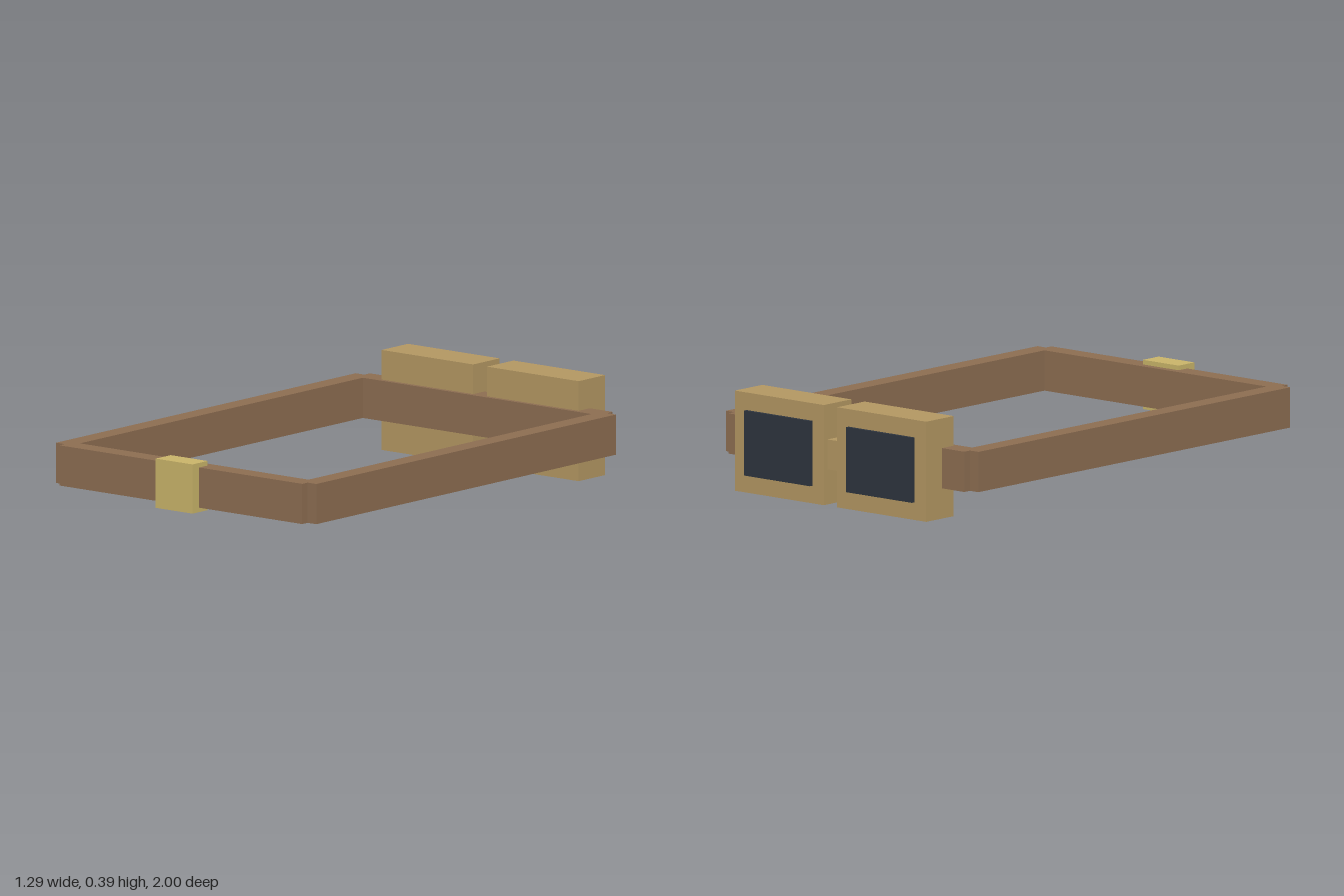
import * as THREE from 'three';

const material = (name, color) => {
  const m = new THREE.MeshStandardMaterial({ color });
  m.name = name;
  return m;
};

export function createModel() {
  const leather = material('brown leather', 0x8c6d51);
  const brass = material('dull brass', 0xb39762);
  const gold = material('pale gold', 0xc9b469);
  const glass = material('dark glass', 0x2e343e);

  const model = new THREE.Group();
  model.name = 'goggles';

  // Box given by its extents on each axis
  const box = (name, mat, [x0, x1], [y0, y1], [z0, z1]) => {
    const mesh = new THREE.Mesh(new THREE.BoxGeometry(x1 - x0, y1 - y0, z1 - z0), mat);
    mesh.position.set((x0 + x1) / 2, (y0 + y1) / 2, (z0 + z1) / 2);
    mesh.name = name;
    model.add(mesh);
  };

  // Strap loop: two cross bands and two side bands
  const strapY = [0.117, 0.273];
  box('frontStrap', leather, [-0.6, 0.6], strapY, [0.88, 0.96]);
  box('backStrap', leather, [-0.6, 0.6], strapY, [-0.895, -0.81]);

  for (const [side, s] of [['left', 1], ['right', -1]]) {
    const span = (a, b) => (s > 0 ? [a, b] : [-b, -a]);
    box(side + 'Strap', leather, span(0.565, 0.643), strapY, [-0.862, 0.928]);
    // Eyepiece housing and its pane
    box(side + 'LensFrame', brass, span(0.034, 0.487), [0, 0.388], [-0.986, -0.828]);
    box(side + 'Lens', glass, span(0.092, 0.427), [0.068, 0.32], [-1, -0.98]);
  }

  // Nose bridge between the eyepieces, and the buckle opposite
  box('bridge', brass, [-0.04, 0.04], [0.136, 0.252], [-0.965, -0.87]);
  box('buckle', gold, [-0.091, 0.091], [0.1, 0.291], [0.91, 1]);

  return model;
}
